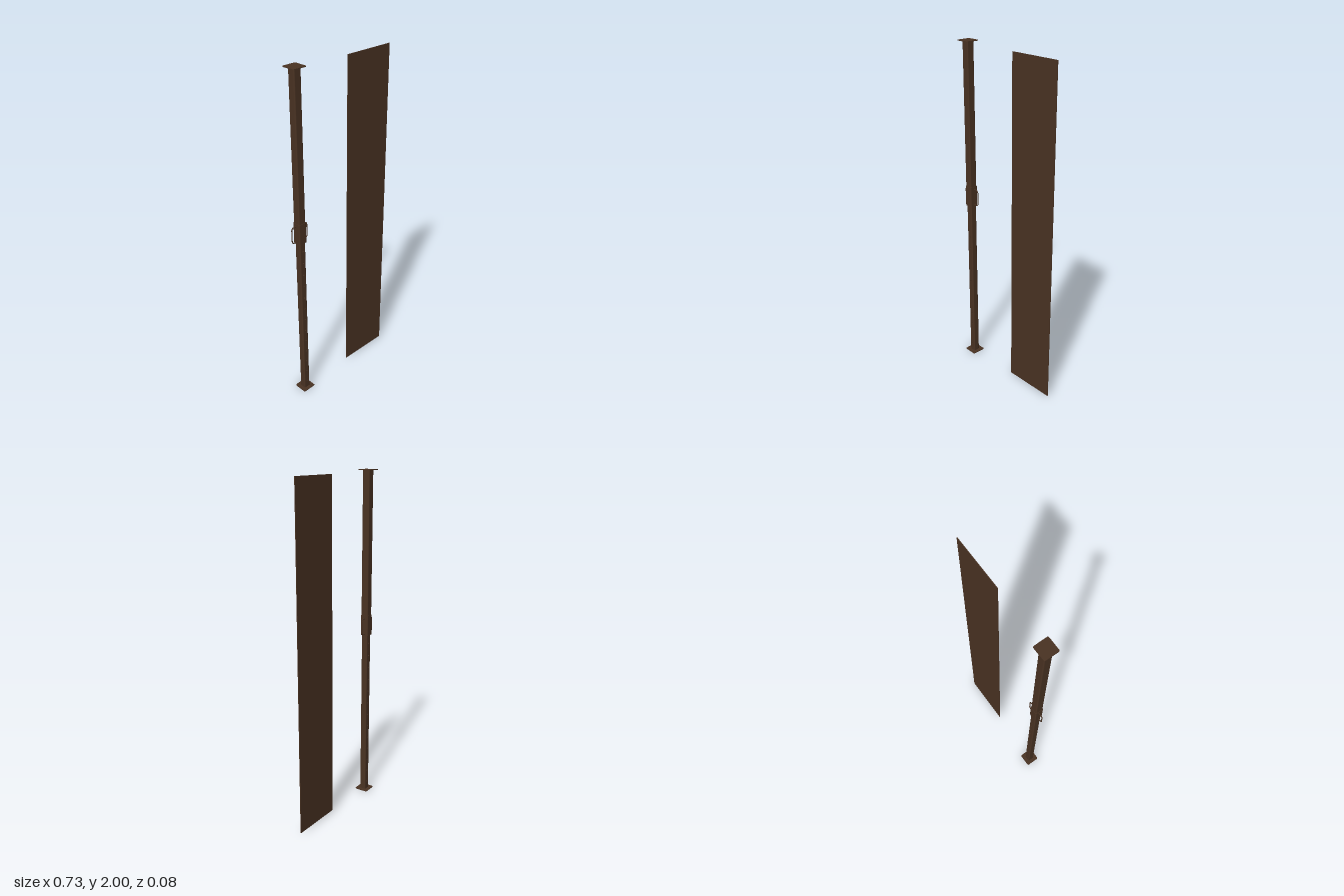
import * as THREE from 'three';

const material = new THREE.MeshStandardMaterial({ color: 0x4a3323 });
const POST_X = -0.307;

function add(parent, name, geometry, x = 0, y = 0, z = 0) {
  const mesh = new THREE.Mesh(geometry, material);
  mesh.name = name;
  mesh.position.set(x, y, z);
  parent.add(mesh);
  return mesh;
}

function roundedRect(target, w, r) {
  const h = w / 2;
  target.moveTo(-h + r, -h);
  target.lineTo(h - r, -h).absarc(h - r, -h + r, r, -Math.PI / 2, 0);
  target.lineTo(h, h - r).absarc(h - r, h - r, r, 0, Math.PI / 2);
  target.lineTo(-h + r, h).absarc(-h + r, h - r, r, Math.PI / 2, Math.PI);
  target.lineTo(-h, -h + r).absarc(-h + r, -h + r, r, Math.PI, Math.PI * 1.5);
  return target;
}

// Extrudes a horizontal section upward from y = 0
function extrudeUp(shape, height) {
  const g = new THREE.ExtrudeGeometry(shape, { depth: height, bevelEnabled: false, curveSegments: 6 });
  return g.rotateX(-Math.PI / 2);
}

function squareTube(w, r, wall, height) {
  const shape = roundedRect(new THREE.Shape(), w, r);
  shape.holes.push(roundedRect(new THREE.Path(), w - 2 * wall, Math.max(r - wall, 0.001)));
  return extrudeUp(shape, height);
}

// Lower tube: two C-shaped sides joined by perforated front and back walls
function lowerTube(w, r, wall, height) {
  const group = new THREE.Group();
  group.name = 'lowerTube';
  const h = w / 2, c = h - r, ri = r - wall;
  const side = new THREE.Shape();
  side.moveTo(c, -h);
  side.absarc(c, -c, r, -Math.PI / 2, 0);
  side.lineTo(h, c).absarc(c, c, r, 0, Math.PI / 2);
  side.lineTo(c, h - wall).absarc(c, c, ri, Math.PI / 2, 0, true);
  side.lineTo(h - wall, -c).absarc(c, -c, ri, 0, -Math.PI / 2, true);
  side.closePath();
  for (const turn of [0, Math.PI]) {
    add(group, 'tubeSide', extrudeUp(side, height)).rotation.y = turn;
  }

  const face = new THREE.Shape();
  face.moveTo(-c, 0).lineTo(c, 0).lineTo(c, height).lineTo(-c, height).closePath();
  for (let y = 0.05; y < height - 0.02; y += 0.0773) {
    face.holes.push(new THREE.Path().absarc(0, y, 0.0045, 0, Math.PI * 2, true));
  }
  const wallGeometry = new THREE.ExtrudeGeometry(face, { depth: wall, bevelEnabled: false, curveSegments: 8 });
  add(group, 'frontWall', wallGeometry, 0, 0, h - wall);
  add(group, 'backWall', wallGeometry, 0, 0, -h);
  return group;
}

// Rounded D-shaped handle opening toward the post
function handleGeometry(s) {
  const inner = 0.02, outer = 0.0535, low = 1.04, high = 1.137, r = 0.018;
  const v = (x, y) => new THREE.Vector3(s * x, y, 0);
  const path = new THREE.CurvePath();
  path.add(new THREE.LineCurve3(v(inner, low), v(outer - r, low)));
  path.add(new THREE.QuadraticBezierCurve3(v(outer - r, low), v(outer, low), v(outer, low + r)));
  path.add(new THREE.LineCurve3(v(outer, low + r), v(outer, high - r)));
  path.add(new THREE.QuadraticBezierCurve3(v(outer, high - r), v(outer, high), v(outer - r, high)));
  path.add(new THREE.LineCurve3(v(outer - r, high), v(inner, high)));
  return new THREE.TubeGeometry(path, 60, 0.003, 8);
}

export function createModel() {
  const model = new THREE.Group();
  model.name = 'postAndPanel';

  // Telescopic post
  const post = new THREE.Group();
  post.name = 'post';
  post.position.x = POST_X;
  model.add(post);
  const plate = extrudeUp(roundedRect(new THREE.Shape(), 0.083, 0.007), 0.004);
  add(post, 'basePlate', plate);
  add(post, 'topPlate', plate, 0, 1.996, 0);
  const lower = lowerTube(0.039, 0.006, 0.003, 1.14);
  lower.position.y = 0.003;
  post.add(lower);
  add(post, 'upperTube', squareTube(0.045, 0.006, 0.003, 0.95), 0, 1.047, 0);

  // Locking sleeve with a handle on each side
  add(post, 'sleeve', squareTube(0.05, 0.006, 0.003, 0.122), 0, 1.032, 0);
  for (const s of [-1, 1]) {
    add(post, s > 0 ? 'leftHandle' : 'rightHandle', handleGeometry(s), 0, 0, -0.004);
  }

  // Flat panel
  add(model, 'panel', new THREE.BoxGeometry(0.315, 1.98, 0.004), 0.2055, 0.995, 0.003);
  return model;
}
